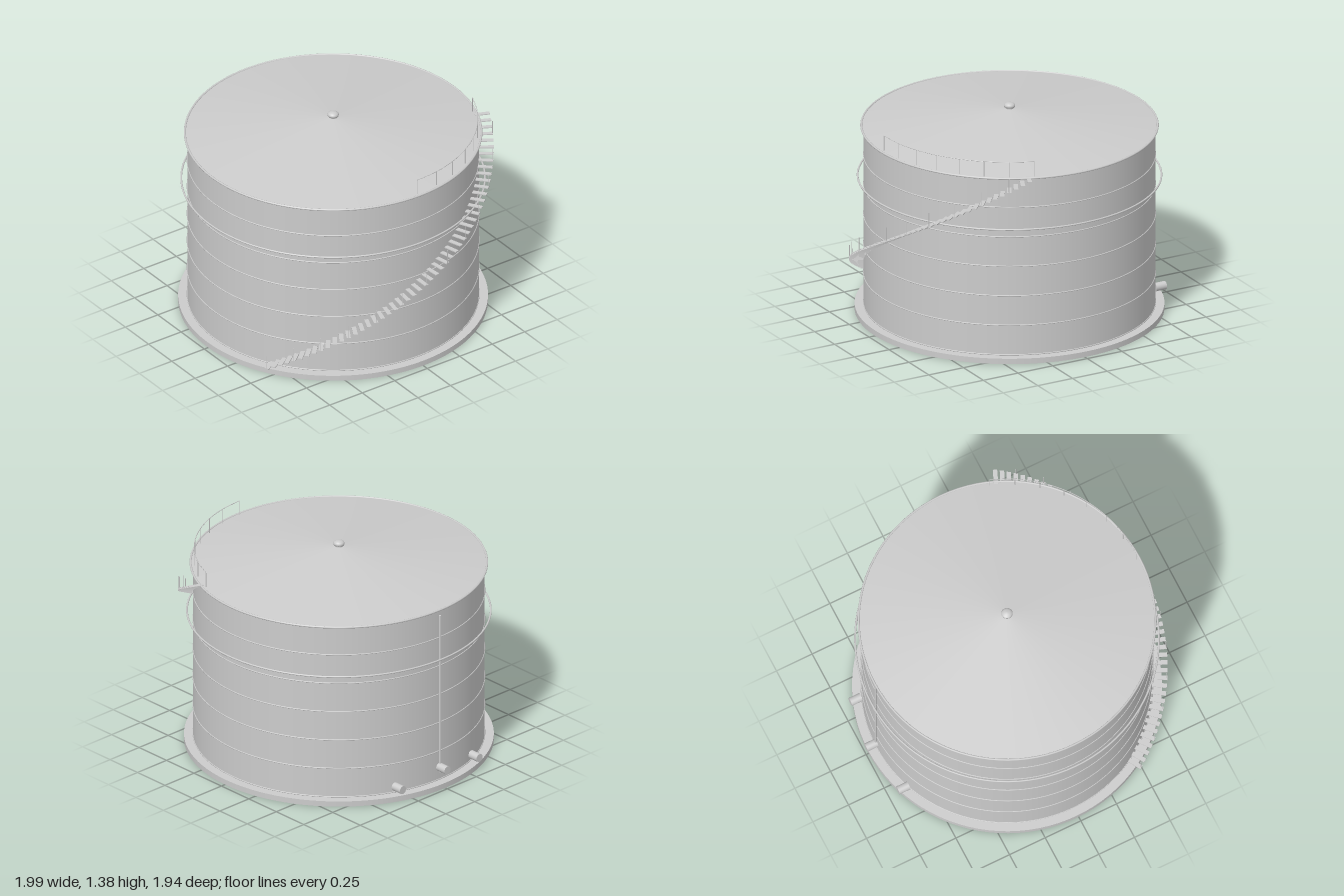
import * as THREE from 'three';

const grey = new THREE.MeshStandardMaterial({ color: 0xcccccc });
const WALL_R = 0.913;
const rad = THREE.MathUtils.degToRad;

function add(parent, name, geometry, x = 0, y = 0, z = 0) {
  const mesh = new THREE.Mesh(geometry, grey);
  mesh.name = name;
  mesh.position.set(x, y, z);
  parent.add(mesh);
  return mesh;
}

// Horizontal ring around the tank
function ring(parent, name, radius, tube, y) {
  add(parent, name, new THREE.TorusGeometry(radius, tube, 8, 96), 0, y).rotation.x = Math.PI / 2;
}

// Point on a circle; angle 0 is +x, positive angles turn towards +z
const polar = (r, y, a) => new THREE.Vector3(r * Math.cos(a), y, r * Math.sin(a));

function post(parent, name, p, height) {
  add(parent, name, new THREE.CylinderGeometry(0.0022, 0.0022, height, 6), p.x, p.y + height / 2, p.z);
}

export function createModel() {
  const model = new THREE.Group();
  model.name = 'storageTank';
  const tank = new THREE.Group();
  tank.name = 'tank';
  tank.position.x = -0.0125;
  model.add(tank);

  // Foundation, shell and conical roof
  add(tank, 'foundation', new THREE.CylinderGeometry(0.97, 0.97, 0.036, 96), 0, 0.018);
  add(tank, 'shell', new THREE.CylinderGeometry(WALL_R, WALL_R, 1.195, 96), 0, 0.6325);
  add(tank, 'roof', new THREE.ConeGeometry(0.922, 0.115, 96), 0, 1.2875);

  // Weld seams, wind girder and eave ring
  for (let i = 0; i < 6; i++) ring(tank, 'weldSeam', WALL_R, 0.004, 0.041 + i * 0.198);
  ring(tank, 'windGirder', 0.951, 0.006, 0.895);
  ring(tank, 'eaveRing', 0.928, 0.007, 1.229);

  // Roof vent
  add(tank, 'ventNeck', new THREE.CylinderGeometry(0.026, 0.026, 0.04, 24), 0, 1.345);
  const cap = [[0, 1.352], [0.034, 1.352], [0.036, 1.362], [0.031, 1.371], [0.018, 1.378], [0, 1.38]];
  add(tank, 'ventCap', new THREE.LatheGeometry(cap.map(([x, y]) => new THREE.Vector2(x, y)), 24));

  // Spiral stair: treads with a post on every fourth
  const stair = new THREE.Group();
  stair.name = 'spiralStair';
  tank.add(stair);
  for (let i = 0; i < 52; i++) {
    const a = rad(60 - 2.5 * i);
    const y = 0.053 + 0.0231 * i;
    const p = polar(0.958, y, a);
    add(stair, 'tread', new THREE.BoxGeometry(0.095, 0.006, 0.028), p.x, p.y, p.z).rotation.y = -a;
    if (i % 4 === 0) post(stair, 'stairPost', polar(1.002, y, a), 0.09);
  }

  // Guard rail on the roof edge at the stair head
  const rail = new THREE.Group();
  rail.name = 'roofRailing';
  tank.add(rail);
  const railPoints = [];
  for (let i = 0; i < 8; i++) {
    const a = rad(-10 * i);
    post(rail, 'railPost', polar(0.906, 1.23, a), 0.102);
    railPoints.push(polar(0.906, 1.332, a));
  }
  add(rail, 'topRail', new THREE.TubeGeometry(new THREE.CatmullRomCurve3(railPoints), 56, 0.0025, 6));

  // Nozzles and level gauge pipe on the side
  for (const [x, y, z] of [[-0.952, 0.129, 0], [-0.895, 0.083, -0.33], [-0.895, 0.083, 0.33]]) {
    add(tank, 'nozzle', new THREE.CylinderGeometry(0.027, 0.027, 0.075, 24), x, y, z).rotation.z = Math.PI / 2;
  }
  add(tank, 'gaugePipe', new THREE.CylinderGeometry(0.007, 0.007, 1.09, 12), -0.921, 0.64, 0);

  return model;
}
